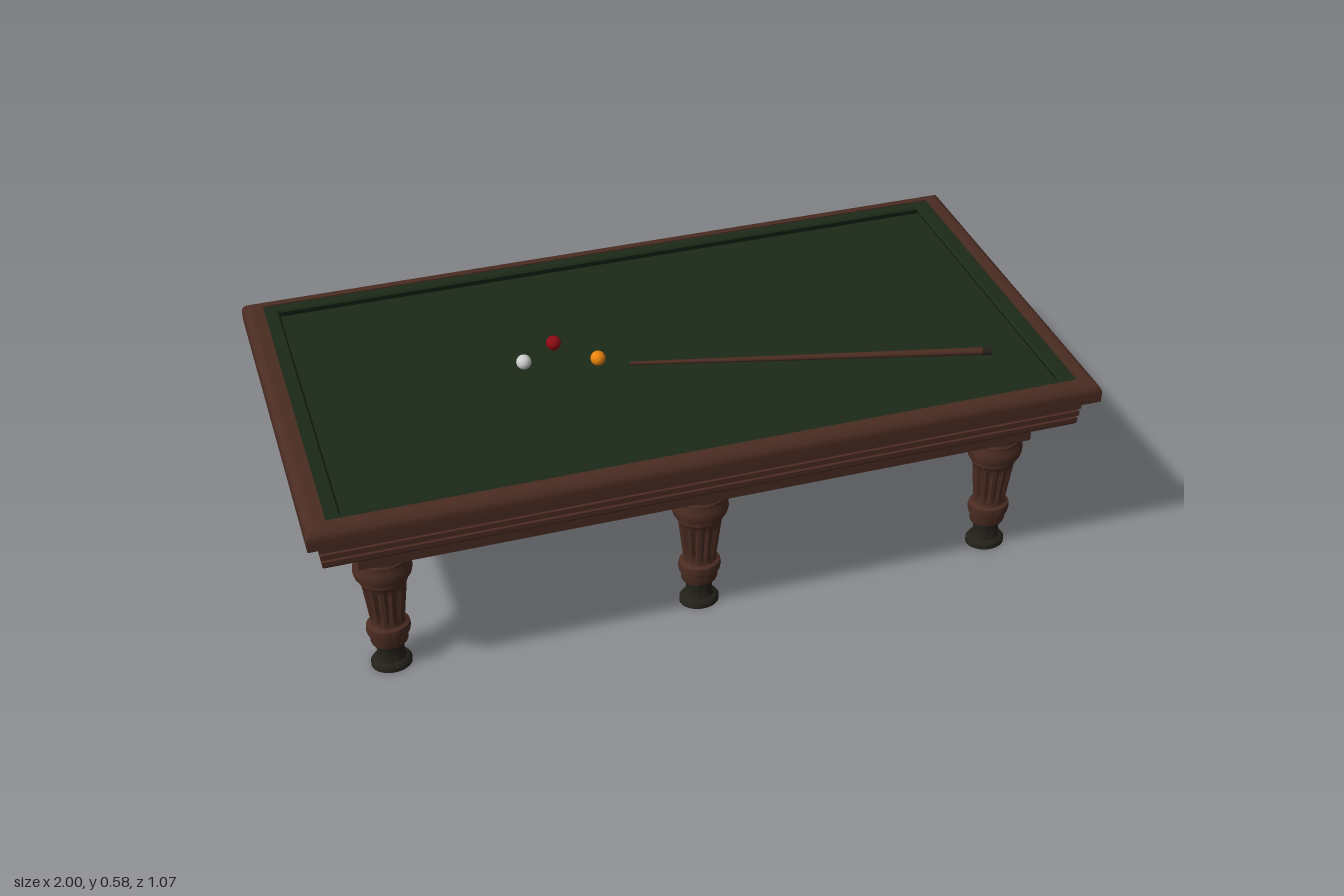
import * as THREE from 'three';
import { toCreasedNormals } from 'three/addons/utils/BufferGeometryUtils.js';

const material = (color) => new THREE.MeshStandardMaterial({ color });
const wood = material(0x4a2c22);
const cloth = material(0x1c2a18);
const dark = material(0x24211a);

function add(parent, name, geometry, mat) {
  const mesh = new THREE.Mesh(geometry, mat);
  mesh.name = name;
  parent.add(mesh);
  return mesh;
}

// Rectangular moulding: each row is [half width, half depth, height],
// listed from underneath, up the outside and inwards over the top.
function moulding(rows) {
  const loops = rows.map(([x, z, y]) => [[x, y, z], [x, y, -z], [-x, y, -z], [-x, y, z]]);
  const pos = [];
  for (let i = 0; i < rows.length - 1; i++) {
    const a = loops[i], b = loops[i + 1];
    for (let k = 0; k < 4; k++) {
      const n = (k + 1) % 4;
      if (rows[i][0] > 0) pos.push(...a[k], ...a[n], ...b[n]);
      if (rows[i + 1][0] > 0) pos.push(...a[k], ...b[n], ...b[k]);
    }
  }
  const geo = new THREE.BufferGeometry();
  geo.setAttribute('position', new THREE.Float32BufferAttribute(pos, 3));
  return toCreasedNormals(geo, 0.5);
}

function lathe(points) {
  return new THREE.LatheGeometry(points.map(([r, y]) => new THREE.Vector2(r, y)), 72);
}

// Turned leg with twelve flutes carved into the tapering shaft
function legGeometry() {
  const points = [[0.001, 0.072], [0.044, 0.072], [0.047, 0.08], [0.047, 0.1],
    [0.053, 0.105], [0.055, 0.117], [0.053, 0.13], [0.044, 0.135]];
  for (let i = 0; i <= 10; i++) points.push([0.042 + 0.0014 * i, 0.14 + 0.0125 * i]);
  points.push([0.06, 0.27], [0.06, 0.28], [0.069, 0.287], [0.072, 0.3], [0.071, 0.315],
    [0.064, 0.326], [0.064, 0.335], [0.06, 0.34], [0.06, 0.356]);
  const geo = lathe(points);
  const p = geo.attributes.position;
  for (let i = 0; i < p.count; i++) {
    const y = p.getY(i);
    if (y < 0.14 || y > 0.266) continue;
    const t = (y - 0.14) / 0.125;
    const ends = Math.min(1, 6 * Math.max(0, Math.min(t, 1 - t)));
    const flute = Math.sqrt(Math.max(0, Math.cos(12 * Math.atan2(p.getX(i), p.getZ(i)))));
    const s = 1 - 0.15 * ends * flute;
    p.setX(i, p.getX(i) * s);
    p.setZ(i, p.getZ(i) * s);
  }
  return toCreasedNormals(geo, 0.6);
}

export function createModel() {
  const model = new THREE.Group();
  model.name = 'billiardTable';
  const table = new THREE.Group();
  table.name = 'table';
  table.rotation.y = -0.034;
  model.add(table);

  // Top rail with a rounded outer edge
  const rail = [[0.94, 0.455, 0.515], [0.976, 0.497, 0.515], [0.982, 0.503, 0.52]];
  for (let i = 0; i <= 8; i++) {
    const a = (i / 8) * Math.PI / 2;
    rail.push([0.952 + 0.03 * Math.cos(a), 0.477 + 0.026 * Math.cos(a), 0.545 + 0.028 * Math.sin(a)]);
  }
  rail.push([0.93, 0.466, 0.573], [0.93, 0.466, 0.54]);
  add(table, 'topRail', moulding(rail), wood);

  // Cushions and playing bed
  add(table, 'cushions', moulding([
    [0.931, 0.467, 0.57], [0.897, 0.446, 0.567], [0.892, 0.442, 0.561], [0.9, 0.448, 0.545],
  ]), cloth);
  add(table, 'bed', moulding([[0.91, 0.455, 0.545], [0, 0, 0.545]]), cloth);

  // Stepped apron below the rail
  add(table, 'apron', moulding([
    [0.85, 0.39, 0.43], [0.945, 0.457, 0.43], [0.949, 0.461, 0.436], [0.949, 0.461, 0.449],
    [0.944, 0.456, 0.451], [0.944, 0.456, 0.455], [0.951, 0.463, 0.457], [0.951, 0.463, 0.471],
    [0.946, 0.458, 0.473], [0.946, 0.458, 0.477], [0.953, 0.465, 0.479], [0.953, 0.465, 0.494],
    [0.948, 0.46, 0.496], [0.948, 0.46, 0.5], [0.956, 0.468, 0.502], [0.956, 0.468, 0.517],
  ]), wood);

  // Lower frame, closed underneath
  add(table, 'lowerFrame', moulding([
    [0, 0, 0.355], [0.861, 0.397, 0.355], [0.861, 0.397, 0.432],
  ]), wood);

  // Long panels on both long sides
  for (const side of [-1, 1]) {
    add(table, 'sidePanel', new THREE.BoxGeometry(1.264, 0.042, 0.02), wood)
      .position.set(0, 0.391, side * 0.394);
  }

  // Six turned legs on dark feet
  const legGeo = legGeometry();
  const footGeo = toCreasedNormals(lathe([[0.001, 0], [0.051, 0], [0.051, 0.012], [0.047, 0.018],
    [0.038, 0.022], [0.034, 0.03], [0.034, 0.065], [0.037, 0.073]]), 0.6);
  for (const x of [-0.797, 0, 0.797]) {
    for (const z of [-0.336, 0.336]) {
      const leg = new THREE.Group();
      leg.name = 'leg';
      leg.position.set(x, 0, z);
      leg.scale.z = 0.83;
      add(leg, 'legShaft', legGeo, wood);
      add(leg, 'foot', footGeo, dark);
      table.add(leg);
    }
  }

  // Three balls
  const ballGeo = new THREE.SphereGeometry(0.019, 32, 20);
  for (const [name, x, z, color] of [['whiteBall', -0.345, -0.04, 0xcccccc],
    ['redBall', -0.25, -0.098, 0x8c0a14], ['orangeBall', -0.165, 0.005, 0xe8820c]]) {
    add(model, name, ballGeo, material(color)).position.set(x, 0.564, z);
  }

  // Cue lying on the cloth, thicker at its dark butt end
  const tip = new THREE.Vector3(-0.09, 0.55, 0.034);
  const butt = new THREE.Vector3(0.78, 0.556, 0.29);
  const cue = new THREE.Group();
  cue.name = 'cue';
  const length = tip.distanceTo(butt);
  add(cue, 'cueShaft', new THREE.CylinderGeometry(0.0045, 0.01, length, 20), wood);
  add(cue, 'cueButt', new THREE.CylinderGeometry(0.0105, 0.011, 0.022, 20), dark).position.y = -length / 2 + 0.008;
  cue.position.copy(tip).lerp(butt, 0.5);
  cue.quaternion.setFromUnitVectors(new THREE.Vector3(0, 1, 0), tip.clone().sub(butt).normalize());
  model.add(cue);

  return model;
}
